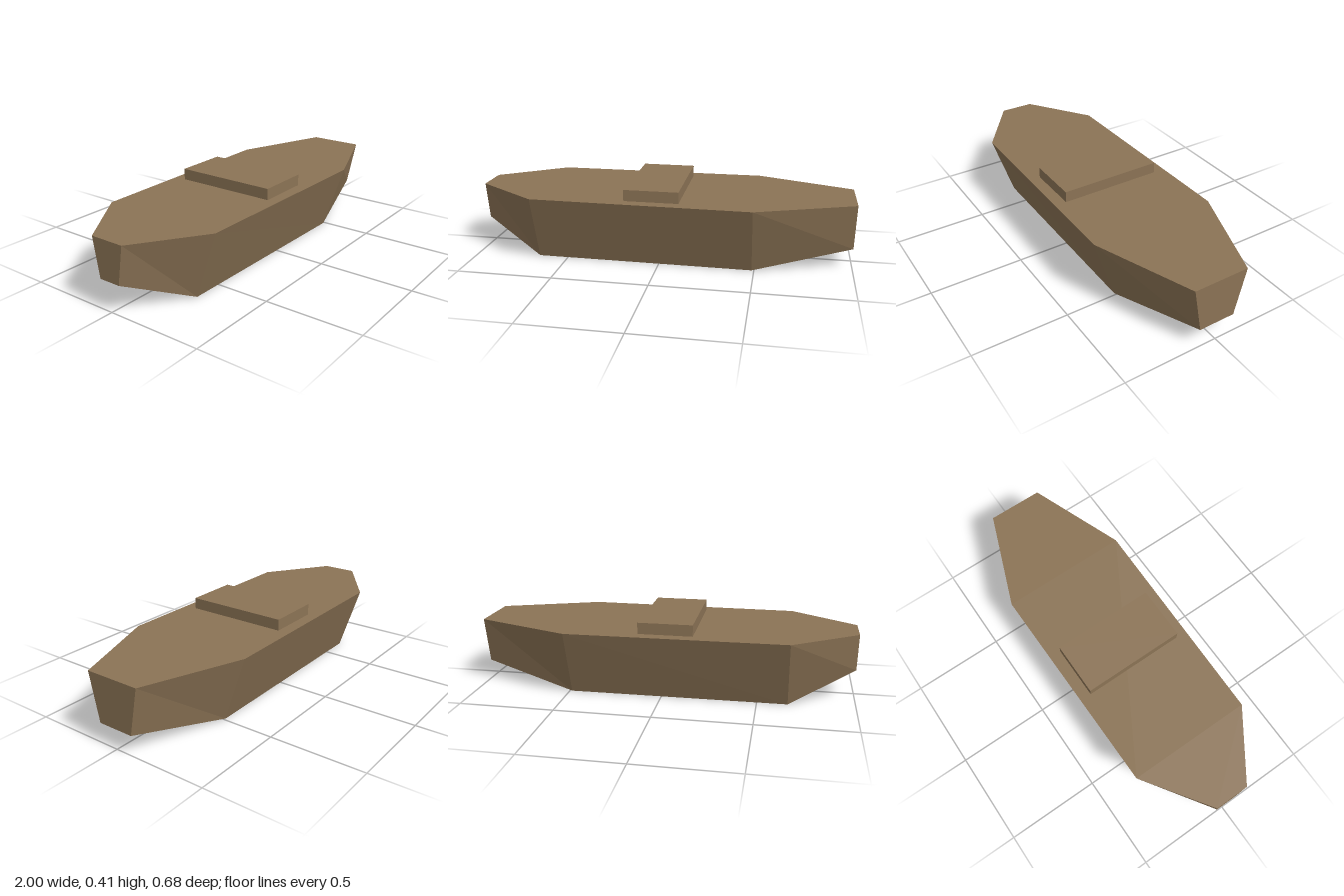
import * as THREE from 'three';

const DECK = 0.354;

// Hull stations along x: [x, deck half width, keel half width, keel height]
const STATIONS = [
  [-1, 0.092, 0.058, 0.152],
  [-0.658, 0.33, 0.214, 0],
  [0.488, 0.342, 0.223, 0],
  [1, 0.148, 0.097, 0.104],
];

function hullGeometry() {
  // Outline runs along the front, then returns along the back
  const outline = [
    ...STATIONS.map((s) => [s, 1]),
    ...[...STATIONS].reverse().map((s) => [s, -1]),
  ];
  const top = outline.map(([[x, w], side]) => [x, DECK, w * side]);
  const base = outline.map(([[x, , w, y], side]) => [x, y, w * side]);
  const n = outline.length;
  const pos = [];
  const quad = (a, b, c, d) => pos.push(...a, ...b, ...d, ...b, ...c, ...d);

  // Flared sides and blunt ends
  for (let i = 0; i < n; i++) {
    const j = (i + 1) % n;
    quad(base[i], base[j], top[j], top[i]);
  }
  // Flat deck and the underside with its raised ends
  for (let i = 0; i < STATIONS.length - 1; i++) {
    const b = n - 1 - i;
    quad(top[i], top[i + 1], top[b - 1], top[b]);
    quad(base[b], base[b - 1], base[i + 1], base[i]);
  }

  const geometry = new THREE.BufferGeometry();
  geometry.setAttribute('position', new THREE.Float32BufferAttribute(pos, 3));
  geometry.computeVertexNormals();
  return geometry;
}

export function createModel() {
  const model = new THREE.Group();
  model.name = 'boat';

  const wood = new THREE.MeshStandardMaterial({ color: 0x8b7355 });
  wood.name = 'brown wood';
  wood.flatShading = true;

  const hull = new THREE.Mesh(hullGeometry(), wood);
  hull.name = 'hull';
  model.add(hull);

  // Plank seat across the deck
  const seat = new THREE.Mesh(new THREE.BoxGeometry(0.284, 0.059, 0.548), wood);
  seat.name = 'seat';
  seat.position.set(-0.03, DECK + 0.0295, 0);
  model.add(seat);

  return model;
}
